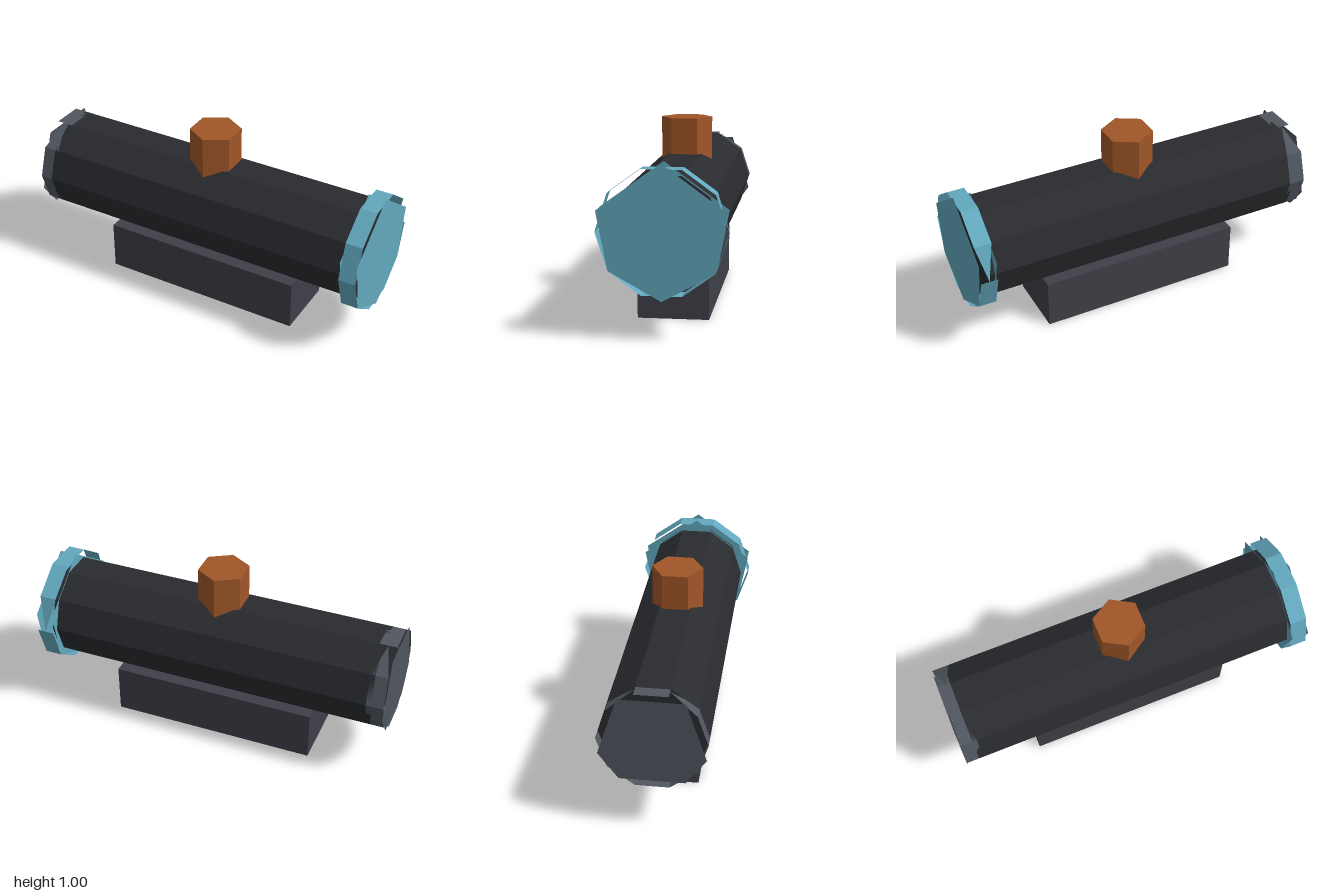
import * as THREE from 'three';

const AXIS_Y = 0.5375; // height of the tube's axis

function makeMesh(name, geometry, color, position = [0, 0, 0]) {
  const material = new THREE.MeshStandardMaterial({ color, flatShading: true, side: THREE.DoubleSide });
  const mesh = new THREE.Mesh(geometry, material);
  mesh.name = name;
  mesh.position.set(...position);
  return mesh;
}

// point on a circle around the tube axis; angle 0 is +z, 90 is up
function ringPoint(x, radius, degrees) {
  const a = THREE.MathUtils.degToRad(degrees);
  return [x, radius * Math.sin(a), radius * Math.cos(a)];
}

function fromTriangles(points) {
  const geometry = new THREE.BufferGeometry();
  geometry.setAttribute('position', new THREE.Float32BufferAttribute(points.flat(), 3));
  geometry.computeVertexNormals();
  return geometry;
}

// ten-sided open band; taper maps a segment to the end (0 or 1) pinched to one point
function bandGeometry(x0, x1, radius, taper) {
  const points = [];
  const mid = (x0 + x1) / 2;
  for (let i = 0; i < 10; i++) {
    const angles = [36 * i, 36 * (i + 1)];
    if (i in taper) {
      const base = angles[1 - taper[i]];
      const tri = [ringPoint(x0, radius, base), ringPoint(x1, radius, base), ringPoint(mid, radius, angles[taper[i]])];
      if (taper[i] === 0) tri.reverse();
      points.push(...tri);
    } else {
      const [a, b] = angles;
      points.push(ringPoint(x0, radius, a), ringPoint(x1, radius, a), ringPoint(x1, radius, b));
      points.push(ringPoint(x0, radius, a), ringPoint(x1, radius, b), ringPoint(x0, radius, b));
    }
  }
  return fromTriangles(points);
}

// flat polygon across the axis, facing +x or -x; corners are [angle, radius], counterclockwise
function capGeometry(x, facing, corners) {
  const p = corners.map(([angle, radius]) => ringPoint(x, radius, angle));
  const points = [];
  for (let i = 1; i < p.length - 1; i++) {
    points.push(...(facing > 0 ? [p[0], p[i + 1], p[i]] : [p[0], p[i], p[i + 1]]));
  }
  return fromTriangles(points);
}

export function createModel() {
  const model = new THREE.Group();
  model.name = 'scope';

  // mounting block
  model.add(makeMesh('mount', new THREE.BoxGeometry(1.16, 0.28, 0.375), 0x3f4048, [0, 0.14, 0]));

  // ten-sided main tube
  const tube = new THREE.CylinderGeometry(0.28, 0.28, 1.86, 10);
  tube.rotateZ(-Math.PI / 2);
  model.add(makeMesh('tube', tube, 0x292b2f, [0, AXIS_Y, 0]));

  // adjustment knob
  model.add(makeMesh('knob', new THREE.CylinderGeometry(0.14, 0.14, 0.32, 6), 0xa05628, [0, 0.84, 0]));

  // front lens: rim plus six-cornered discs
  const lens = new THREE.Group();
  lens.name = 'lens';
  lens.position.y = AXIS_Y;
  const lensCorners = [[18, 0.337], [90, 0.337], [162, 0.337], [216, 0.325], [270, 0.338], [324, 0.325]];
  lens.add(makeMesh('lensRim', bandGeometry(0.905, 1, 0.325, { 4: 1 }), 0x62a8be));
  lens.add(makeMesh('lensFront', capGeometry(1, 1, lensCorners), 0x62a8be));
  lens.add(makeMesh('lensBack', capGeometry(0.905, -1, lensCorners), 0x62a8be));
  model.add(lens);

  // rear eyepiece: rim plus end disc
  const eyepiece = new THREE.Group();
  eyepiece.name = 'eyepiece';
  eyepiece.position.y = AXIS_Y;
  const endCorners = [54, 126, 198, 234, 306, 342].map((angle) => [angle, 0.287]);
  eyepiece.add(makeMesh('eyepieceRim', bandGeometry(-1, -0.905, 0.28, { 1: 1, 3: 0 }), 0x50565f));
  eyepiece.add(makeMesh('eyepieceEnd', capGeometry(-1, -1, endCorners), 0x50565f));
  model.add(eyepiece);

  return model;
}
